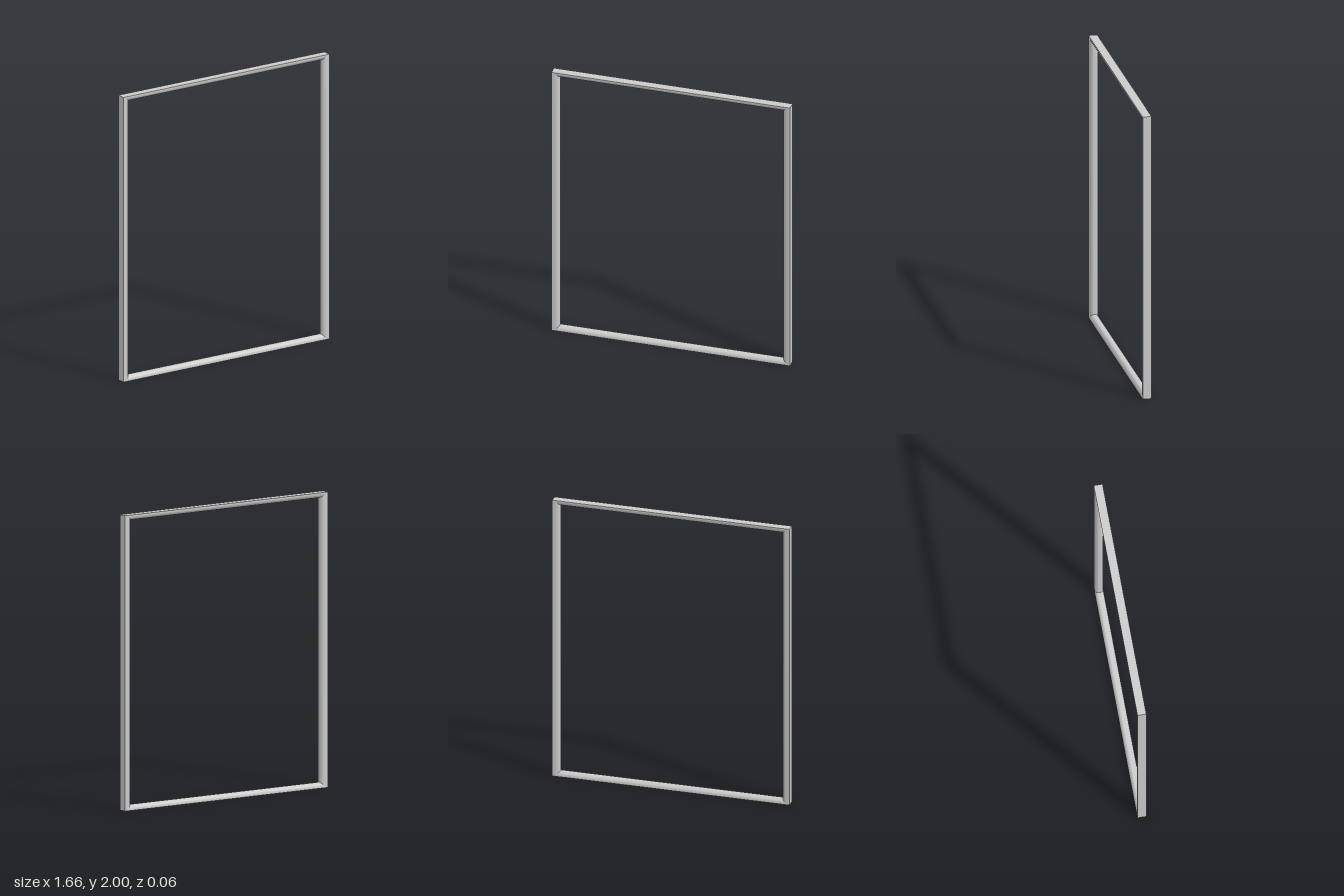
import * as THREE from 'three';
import { toCreasedNormals } from 'three/addons/utils/BufferGeometryUtils.js';

const material = new THREE.MeshStandardMaterial({ color: 0xcccccc });
const W = 0.83, H = 2, R = 0.03; // half width, height, half depth

// Bar along local z: flat back at y = 0, half-round nose towards +y
function bar(name, length, thickness) {
  const shape = new THREE.Shape();
  shape.moveTo(-R, 0);
  shape.lineTo(R, 0);
  shape.lineTo(R, thickness - R);
  shape.absarc(0, thickness - R, R, 0, Math.PI, false);
  shape.closePath();
  const geometry = new THREE.ExtrudeGeometry(shape, { depth: length, bevelEnabled: false, curveSegments: 20 });
  geometry.translate(0, 0, -length / 2);
  const mesh = new THREE.Mesh(toCreasedNormals(geometry, 0.6), material);
  mesh.name = name;
  return mesh;
}

// Turn a bar so its length follows `along` and its nose points to `nose`
function place(mesh, along, nose, x, y) {
  const side = new THREE.Vector3().crossVectors(nose, along);
  mesh.quaternion.setFromRotationMatrix(new THREE.Matrix4().makeBasis(side, nose, along));
  mesh.position.set(x, y, 0);
  return mesh;
}

export function createModel() {
  const group = new THREE.Group();
  group.name = 'openFrame';
  const X = new THREE.Vector3(1, 0, 0), Y = new THREE.Vector3(0, 1, 0);

  // Full-height posts, rounded towards the opening
  for (const s of [-1, 1]) {
    group.add(place(bar(s > 0 ? 'leftPost' : 'rightPost', H, 0.053), Y, X.clone().multiplyScalar(-s), s * W, H / 2));
  }
  // Rails, ending inside the posts
  for (const s of [-1, 1]) {
    const name = s > 0 ? 'topRail' : 'bottomRail';
    group.add(place(bar(name, 2 * (W - 0.015), 0.037), X, Y.clone().multiplyScalar(-s), 0, s > 0 ? H : 0));
  }
  return group;
}
